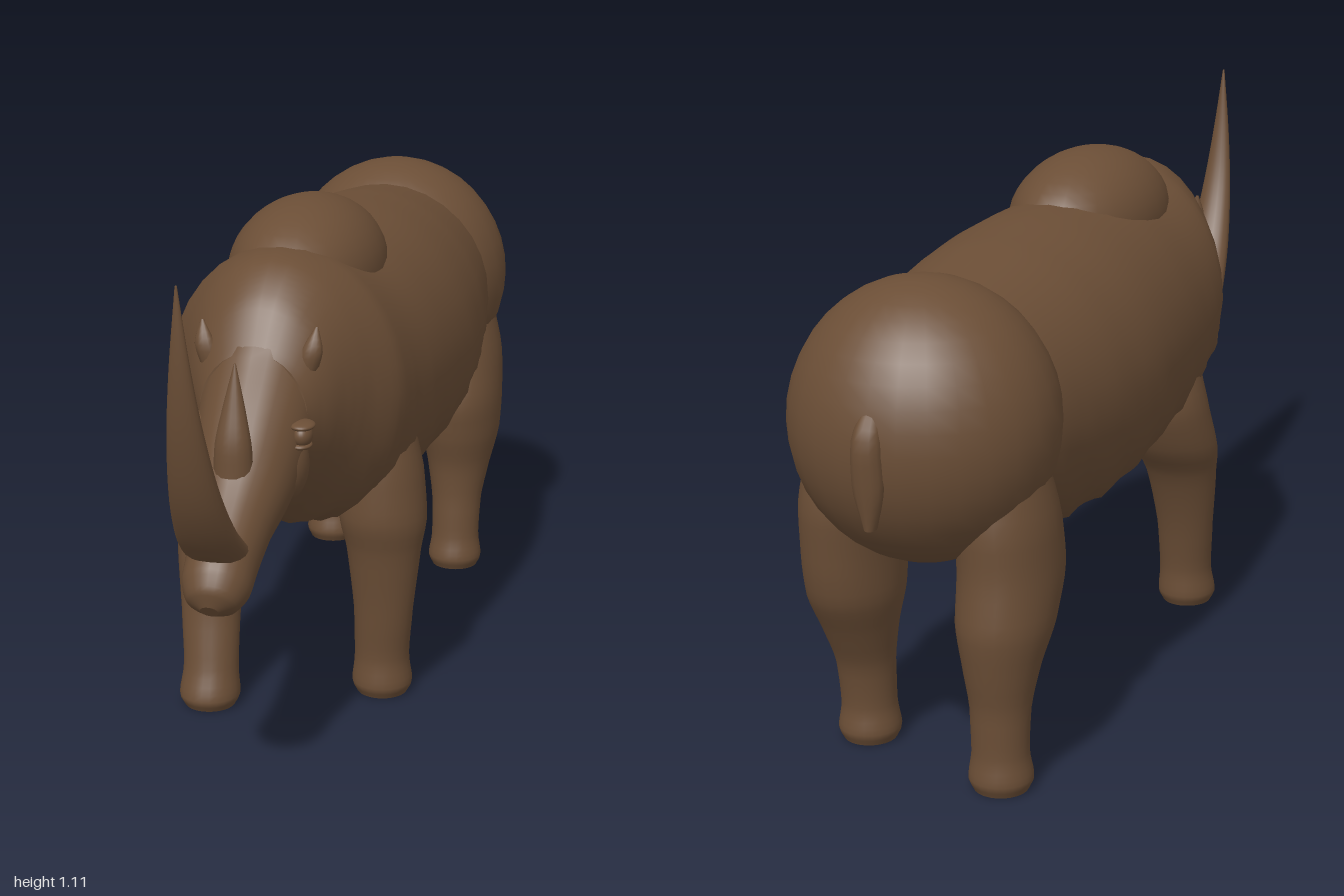
import * as THREE from 'three';

const hide = new THREE.MeshStandardMaterial({ color: 0x6b4e36 });
hide.name = 'brown hide';

// Skin elliptical rings along a smooth path. Sections: [x, y, z, halfWidth, halfDepth].
// dir fixes the ring plane; wool adds a small shaggy ripple to the lower half.
function loft(sections, { sides = 24, steps = 4, dir = null, wool = 0 } = {}) {
  const path = new THREE.CatmullRomCurve3(sections.map(s => new THREE.Vector3(s[0], s[1], s[2])));
  const size = new THREE.CatmullRomCurve3(sections.map(s => new THREE.Vector3(s[3], s[4], 0)));
  const n = (sections.length - 1) * steps, pos = [], idx = [];
  const X = new THREE.Vector3(1, 0, 0);
  for (let i = 0; i <= n; i++) {
    const t = i / n, c = path.getPoint(t), r = size.getPoint(t);
    const T = dir || path.getTangent(t);
    const U = new THREE.Vector3().crossVectors(T, X).normalize();
    for (let j = 0; j < sides; j++) {
      const a = j / sides * Math.PI * 2;
      const low = Math.max(0, 0.2 - Math.sin(a));
      const k = 1 + wool * low * Math.sin(i * 1.9 + j * 2.3) * Math.cos(j * 1.3 - i * 0.7);
      const p = c.clone().addScaledVector(X, r.x * Math.cos(a) * k).addScaledVector(U, r.y * Math.sin(a) * k);
      pos.push(p.x, p.y, p.z);
    }
  }
  for (let i = 0; i < n; i++) for (let j = 0; j < sides; j++) {
    const a = i * sides + j, b = i * sides + (j + 1) % sides;
    idx.push(a, b, b + sides, a, b + sides, a + sides);
  }
  // end caps with their own vertices, so that the rims stay crisp
  for (const end of [0, n]) {
    const base = pos.length / 3, c = path.getPoint(end / n);
    for (let j = 0; j < sides; j++) pos.push(...pos.slice((end * sides + j) * 3, (end * sides + j) * 3 + 3));
    pos.push(c.x, c.y, c.z);
    for (let j = 0; j < sides; j++) {
      const a = base + j, b = base + (j + 1) % sides;
      idx.push(base + sides, ...(end ? [a, b] : [b, a]));
    }
  }
  const g = new THREE.BufferGeometry();
  g.setAttribute('position', new THREE.Float32BufferAttribute(pos, 3));
  g.setIndex(idx);
  g.computeVertexNormals();
  return g;
}

export function createModel() {
  const model = new THREE.Group();
  model.name = 'woollyRhinoceros';
  const add = (name, geometry) => {
    const m = new THREE.Mesh(geometry, hide);
    m.name = name;
    model.add(m);
    return m;
  };
  const ball = (name, x, y, z, rx, ry, rz) => {
    const m = add(name, new THREE.SphereGeometry(1, 28, 20));
    m.position.set(x, y, z);
    m.scale.set(rx, ry, rz);
    return m;
  };

  // Barrel, shoulders and neck: [z, top, bottom, halfWidth]
  const torso = [
    [-0.74, 0.93, 0.48, 0.22], [-0.6, 0.955, 0.43, 0.25], [-0.4, 0.985, 0.385, 0.28],
    [-0.2, 1.0, 0.37, 0.29], [0, 1.0, 0.385, 0.278], [0.16, 1.0, 0.395, 0.262],
    [0.29, 1.02, 0.43, 0.247], [0.39, 1.01, 0.5, 0.192], [0.47, 0.95, 0.56, 0.148], [0.53, 0.86, 0.61, 0.11],
  ].map(([z, top, low, w]) => [0, (top + low) / 2, z, w, (top - low) / 2]);
  add('torso', loft(torso, { sides: 32, steps: 6, dir: new THREE.Vector3(0, 0, 1), wool: 0.03 }));
  ball('hump', 0, 0.93, 0.11, 0.16, 0.15, 0.26);
  ball('rump', 0, 0.715, -0.725, 0.265, 0.277, 0.25);

  // Tail lying against the rump
  add('tail', loft([
    [0, 0.8, -0.935, 0.015, 0.015], [0, 0.74, -0.965, 0.03, 0.028],
    [0, 0.66, -0.965, 0.032, 0.025], [0, 0.57, -0.96, 0.012, 0.015],
  ], { sides: 12 }));

  // Head sloping down to the muzzle
  add('head', loft([
    [0, 0.76, 0.44, 0.125, 0.14], [0, 0.7, 0.52, 0.115, 0.118], [0, 0.62, 0.6, 0.1, 0.105],
    [0, 0.56, 0.685, 0.08, 0.082], [0, 0.51, 0.745, 0.07, 0.077], [0, 0.475, 0.79, 0.067, 0.066],
    [0, 0.452, 0.82, 0.05, 0.046], [0, 0.441, 0.834, 0.018, 0.016],
  ]));

  // Horns
  add('frontHorn', loft([
    [0, 0.555, 0.795, 0.066, 0.032], [0, 0.6, 0.845, 0.06, 0.033], [0, 0.69, 0.907, 0.05, 0.03],
    [0, 0.82, 0.958, 0.036, 0.021], [0, 0.96, 0.986, 0.02, 0.012], [0, 1.113, 0.998, 0.002, 0.002],
  ], { sides: 20 }));
  add('rearHorn', loft([
    [0, 0.66, 0.665, 0.04, 0.036], [0, 0.72, 0.668, 0.036, 0.029],
    [0, 0.79, 0.66, 0.022, 0.017], [0, 0.873, 0.65, 0.002, 0.002],
  ], { sides: 16 }));

  for (const s of [1, -1]) {
    const side = s > 0 ? 'left' : 'right';
    // Eyes with heavy lids, cheeks and small ears
    ball(side + 'Eye', s * 0.108, 0.712, 0.56, 0.02, 0.024, 0.026);
    ball(side + 'UpperLid', s * 0.108, 0.732, 0.56, 0.025, 0.009, 0.031);
    ball(side + 'LowerLid', s * 0.105, 0.692, 0.56, 0.022, 0.008, 0.027);
    ball(side + 'Cheek', s * 0.07, 0.645, 0.545, 0.045, 0.075, 0.06);
    add(side + 'Ear', loft([
      [s * 0.095, 0.82, 0.485, 0.024, 0.02], [s * 0.108, 0.86, 0.49, 0.022, 0.016],
      [s * 0.116, 0.908, 0.482, 0.003, 0.003],
    ], { sides: 12 }));

    // Front legs: one steps forward; f shifts the lower leg
    const f = s > 0 ? 0 : 0.16;
    add(side + 'FrontLeg', loft([
      [s * 0.165, 0.64, 0.15, 0.065, 0.075], [s * 0.172, 0.52, 0.15, 0.086, 0.096],
      [s * 0.175, 0.42, 0.155 + f * 0.2, 0.093, 0.095], [s * 0.178, 0.34, 0.158 + f * 0.4, 0.08, 0.072],
      [s * 0.177, 0.2, 0.153 + f * 0.65, 0.064, 0.054], [s * 0.171, 0.09, 0.138 + f * 0.9, 0.059, 0.055],
      [s * 0.171, 0.025, 0.133 + f, 0.065, 0.066], [s * 0.171, 0, 0.133 + f, 0.054, 0.055],
    ], { dir: new THREE.Vector3(0, -1, 0) }));

    // Hind legs: heavy thigh and hock, narrower shank
    const b = s > 0 ? 0 : -0.115;
    add(side + 'HindLeg', loft([
      [s * 0.155, 0.66, -0.72, 0.08, 0.1], [s * 0.165, 0.53, -0.715, 0.098, 0.127],
      [s * 0.17, 0.43, -0.7 + b * 0.1, 0.098, 0.132], [s * 0.17, 0.34, -0.697 + b * 0.35, 0.094, 0.118],
      [s * 0.17, 0.26, -0.685 + b * 0.65, 0.076, 0.085], [s * 0.17, 0.17, -0.665 + b * 0.9, 0.06, 0.06],
      [s * 0.17, 0.08, -0.655 + b, 0.057, 0.055],
      [s * 0.17, 0.025, -0.653 + b, 0.064, 0.064], [s * 0.17, 0, -0.653 + b, 0.054, 0.054],
    ], { dir: new THREE.Vector3(0, -1, 0) }));
  }
  return model;
}
